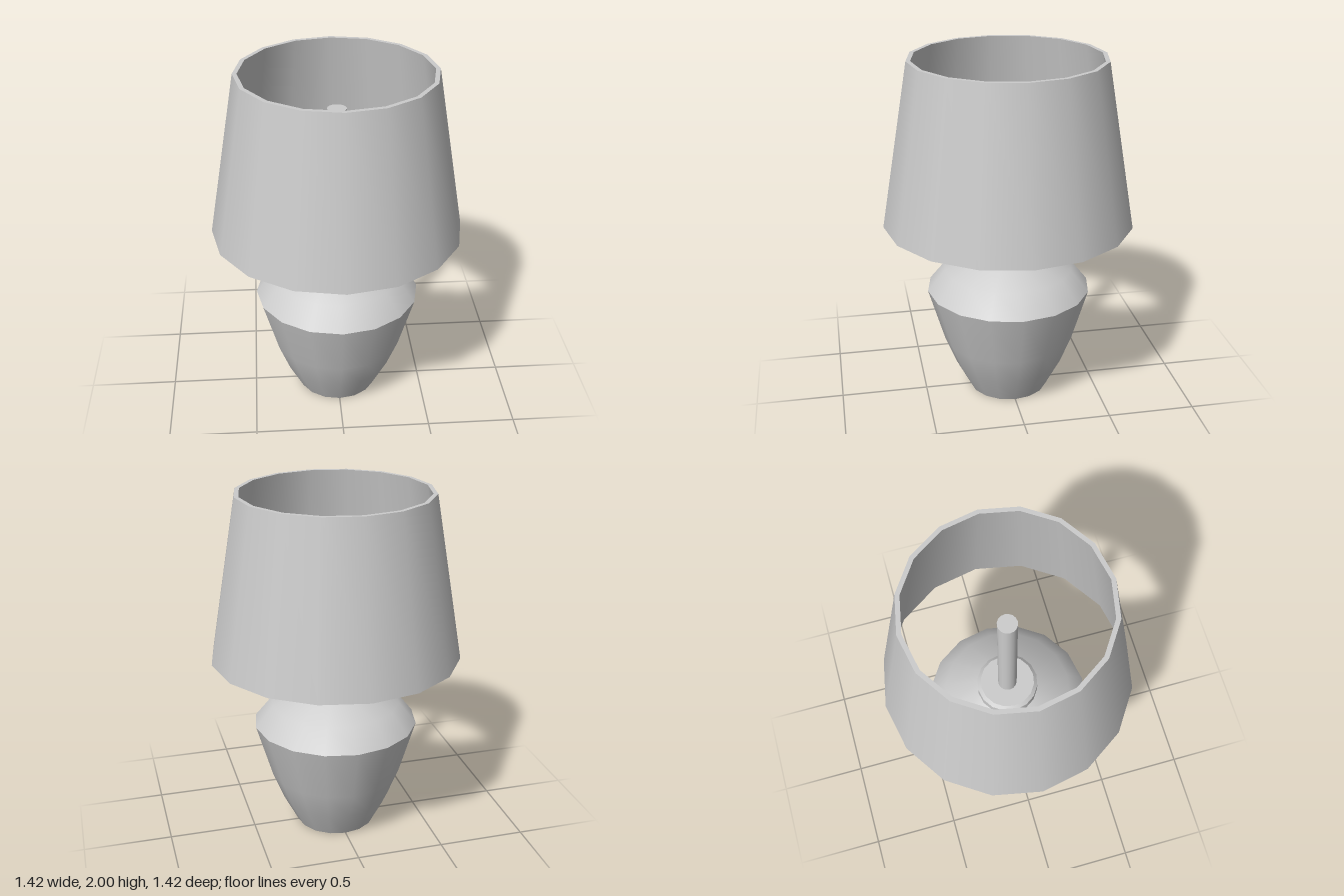
import * as THREE from 'three';
import { mergeGeometries } from 'three/addons/utils/BufferGeometryUtils.js';

const SIDES = 16;
const material = new THREE.MeshStandardMaterial({ color: 0xcccccc });

// Turned part: each section is smooth inside, with a sharp edge to the next.
function turned(name, sections) {
  const lathes = sections.map((points) =>
    new THREE.LatheGeometry(points.map(([r, y]) => new THREE.Vector2(r, y)), SIDES));
  const mesh = new THREE.Mesh(mergeGeometries(lathes), material);
  mesh.name = name;
  return mesh;
}

export function createModel() {
  const lamp = new THREE.Group();
  lamp.name = 'tableLamp';

  // Vase-shaped body: foot, tapering belly, sloping shoulder
  lamp.add(turned('body', [
    [[0, 0], [0.23, 0]],
    [[0.23, 0], [0.315, 0.165], [0.38, 0.33], [0.472, 0.645]],
    [[0.472, 0.645], [0.372, 0.77], [0.175, 0.87]],
  ]));

  // Collar with a chamfered top edge
  lamp.add(turned('collar', [
    [[0.175, 0.87], [0.175, 0.927]],
    [[0.175, 0.927], [0.155, 0.945]],
    [[0.155, 0.945], [0, 0.945]],
  ]));

  // Stem rising inside the shade
  const stemBottom = 0.945, stemTop = 1.79;
  const stem = new THREE.Mesh(
    new THREE.CylinderGeometry(0.054, 0.054, stemTop - stemBottom, SIDES), material);
  stem.name = 'stem';
  stem.position.y = (stemBottom + stemTop) / 2;
  lamp.add(stem);

  // Open shade with wall thickness: outside, top rim, inside, bottom rim
  const wall = [[0.71, 1.065], [0.55, 2], [0.525, 2], [0.685, 1.065]];
  lamp.add(turned('shade', wall.map((p, i) => [p, wall[(i + 1) % wall.length]])));

  return lamp;
}
